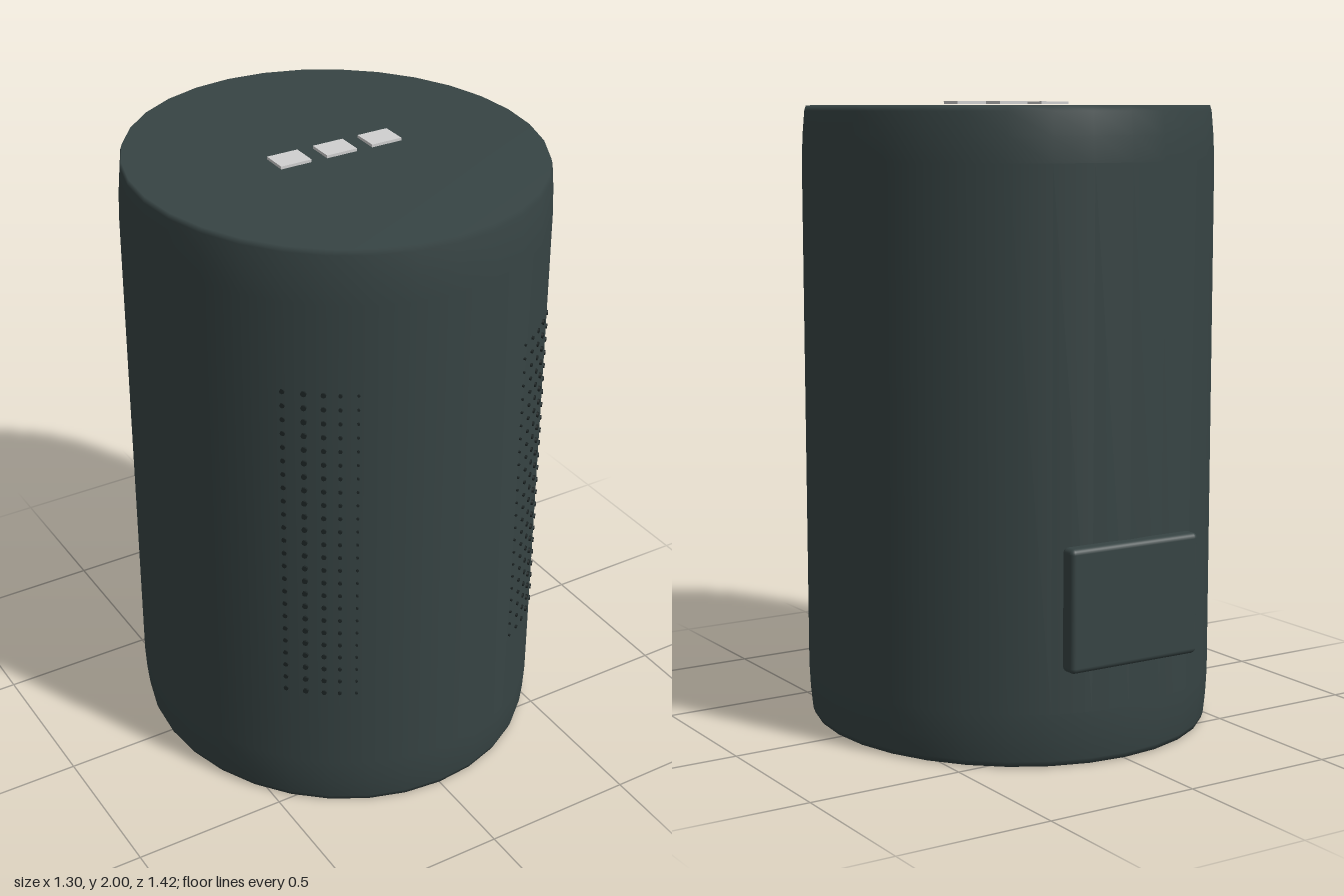
import * as THREE from 'three';
import { mergeGeometries } from 'three/addons/utils/BufferGeometryUtils.js';
import { RoundedBoxGeometry } from 'three/addons/geometries/RoundedBoxGeometry.js';

const RX = 0.652, RZ = 0.692, CZ = 0.013;

function material(name, color) {
  const m = new THREE.MeshStandardMaterial({ color });
  m.name = name;
  return m;
}

export function createModel() {
  const group = new THREE.Group();
  const shell = material('dark green shell', 0x374444);
  const dark = material('dark perforation', 0x1d2525);
  const light = material('light grey button', 0xd0d0d0);

  function add(name, geometry, mat, x = 0, y = 0, z = 0) {
    const mesh = new THREE.Mesh(geometry, mat);
    mesh.name = name;
    mesh.position.set(x, y, z);
    group.add(mesh);
    return mesh;
  }

  // Oval body with gently drawn-in ends and softly shaded caps
  const profile = [
    [0, 0.003], [0.635, 0.003], [0.641, 0.02], [0.648, 0.09], [RX, 0.17],
    [RX, 1.82], [0.648, 1.9], [0.642, 1.97], [0.637, 1.987], [0, 1.987],
  ].map(([r, y]) => new THREE.Vector2(r, y));
  const body = new THREE.LatheGeometry(profile, 32);
  body.scale(1, 1, RZ / RX);
  add('body', body, shell, 0, 0, CZ);

  // Three flat buttons on the top
  for (const x of [-0.158, 0, 0.158]) {
    add('topButton', new THREE.BoxGeometry(0.104, 0.009, 0.085), light, x, 1.9955, CZ);
  }

  // Connector panel on the back
  add('backPanel', new RoundedBoxGeometry(0.47, 0.38, 0.06, 3, 0.017), shell, 0, 0.5, -0.685);

  // Two long feet under the base
  for (const side of [-1, 1]) {
    add('foot', new THREE.BoxGeometry(0.12, 0.01, 0.75), shell, side * 0.42, 0.005, CZ - 0.02);
  }

  // Speaker perforations: columns of tiny dots on both sides of the front
  const columns = [[0.29, 0.004], [0.335, 0.006], [0.375, 0.008], [0.42, 0.009], [0.465, 0.008]];
  for (const side of [-1, 1]) {
    const dots = [];
    for (const [cx, radius] of columns) {
      const x = side * cx;
      const z = RZ * Math.sqrt(1 - (x / RX) ** 2);
      const yaw = Math.atan2(x / RX ** 2, z / RZ ** 2);
      for (let row = 0; row < 24; row++) {
        const dot = new THREE.CylinderGeometry(radius, radius, 0.008, 8);
        dot.rotateX(Math.PI / 2);
        dot.rotateY(yaw);
        dot.translate(x, 0.455 + row * 0.0468, z + CZ - 0.001);
        dots.push(dot);
      }
    }
    add(side > 0 ? 'leftPerforations' : 'rightPerforations', mergeGeometries(dots), dark);
  }

  return group;
}
